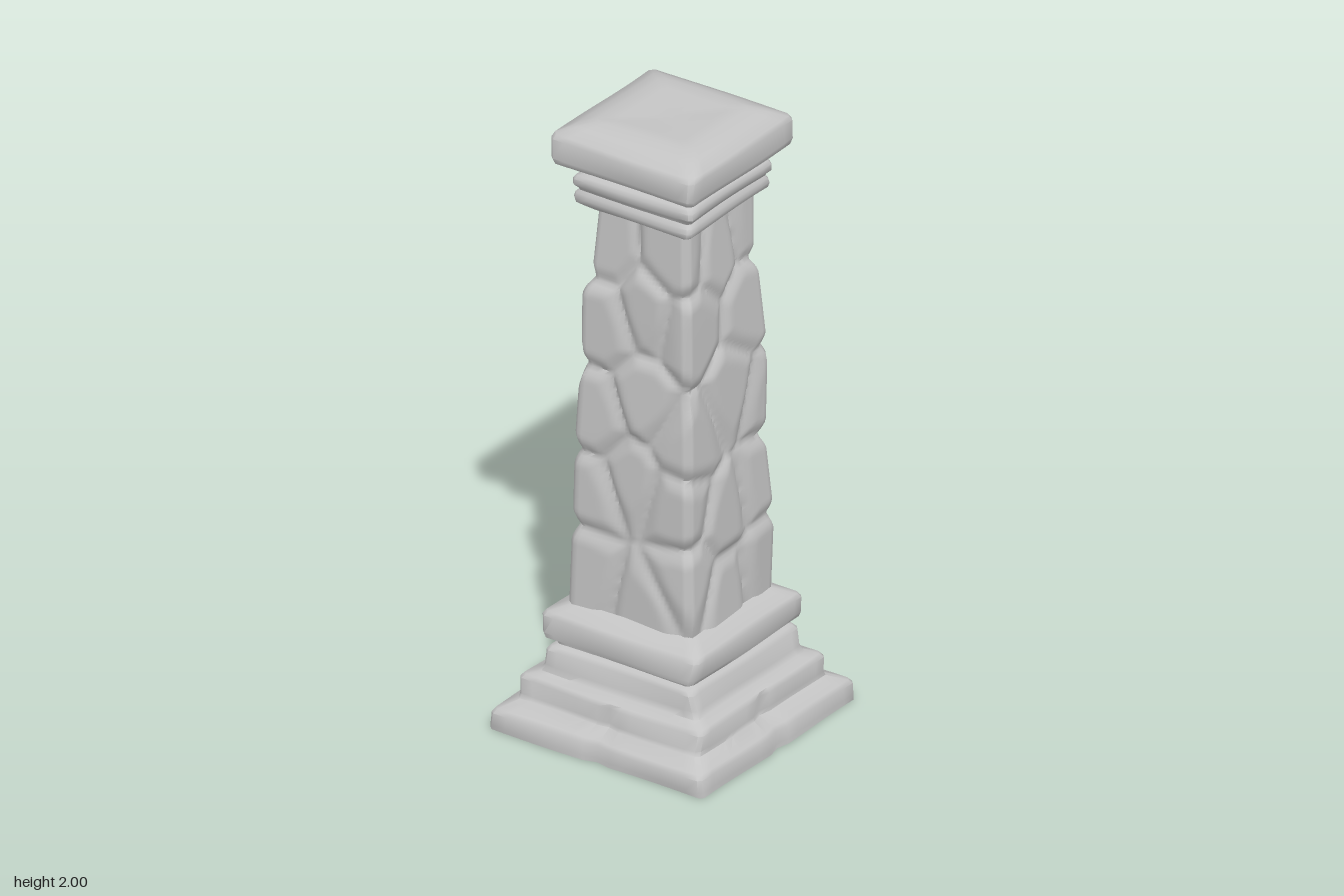
import * as THREE from 'three';
import { toCreasedNormals } from 'three/addons/utils/BufferGeometryUtils.js';

// Lofts a chamfered square along a profile of [half width, height] pairs.
// shape(p, t) may move each point; t runs from -1 to 1 along its side.
function squareLoft(profile, segs, chamfer, shape, crease) {
  const pos = [], index = [], n = 4 * (segs + 1);
  for (const [hw, y] of profile) {
    const a = hw - Math.min(chamfer, hw * 0.5);
    for (let side = 0; side < 4; side++) {
      for (let i = 0; i <= segs; i++) {
        const t = (i / segs) * 2 - 1;
        let x = t * a, z = hw;
        for (let k = 0; k < side; k++) [x, z] = [z, -x];
        const p = new THREE.Vector3(x, y, z);
        shape(p, t, hw);
        pos.push(p.x, p.y, p.z);
      }
    }
  }
  for (let j = 0; j < profile.length - 1; j++) {
    for (let i = 0; i < n; i++) {
      const a = j * n + i, b = j * n + (i + 1) % n;
      index.push(a, b, b + n, a, b + n, a + n);
    }
  }
  const g = new THREE.BufferGeometry();
  g.setAttribute('position', new THREE.Float32BufferAttribute(pos, 3));
  g.setIndex(index);
  return toCreasedNormals(g, crease);
}

// Stone centres on the shaft: x, y, z and how deep the stone is set back
const stones = [
  // corner stones, row by row
  [-0.17, 0.53, 0.19, 0], [0.17, 0.57, 0.17, 0], [0.19, 0.52, -0.17, 0], [-0.18, 0.55, -0.18, 0],
  [-0.16, 0.77, 0.18, 0], [0.15, 0.79, 0.19, 0], [0.18, 0.77, -0.16, 0], [-0.19, 0.79, -0.15, 0],
  [-0.14, 1.03, 0.18, 0], [0.16, 1.02, 0.14, 0], [0.15, 1.05, -0.19, 0], [-0.18, 1.04, -0.14, 0],
  [-0.12, 1.34, 0.17, 0], [0.17, 1.38, 0.14, 0], [0.18, 1.36, -0.13, 0], [-0.16, 1.35, -0.16, 0],
  [-0.13, 1.60, 0.17, 0.02], [0.13, 1.63, 0.17, 0], [0.14, 1.64, -0.17, 0.006], [-0.15, 1.62, -0.16, 0],
  // front, right, back and left infill
  [0.05, 0.45, 0.21, 0.008], [-0.01, 0.86, 0.2, 0.006], [0.04, 1.13, 0.2, 0], [0.04, 1.42, 0.19, 0],
  [0.21, 0.48, 0.02, 0.004], [0.2, 0.72, 0.02, 0], [0.2, 1.12, -0.02, 0], [0.19, 1.6, 0.01, 0.008],
  [-0.02, 0.5, -0.21, 0], [0.02, 0.82, -0.2, 0.004], [-0.03, 1.13, -0.2, 0], [0.01, 1.5, -0.19, 0.008],
  [-0.21, 0.46, 0.01, 0.006], [-0.2, 0.86, 0.02, 0], [-0.2, 1.15, 0.03, 0.004], [-0.19, 1.5, 0, 0],
];

// Pushes a shaft point in at the joints and tilts each stone's face a little
function carveStone(p) {
  let d1 = 9, d2 = 9, sum = 0, depth = 0;
  stones.forEach(([x, y, z, set], i) => {
    const dy = p.y - y;
    const d = Math.hypot(p.x - x, dy * 0.85, p.z - z);
    if (d < d1) { d2 = d1; d1 = d; } else if (d < d2) d2 = d;
    const w = Math.exp(-d * 70);
    const tilt = 0.05 * (Math.sin(i * 2.4) * dy + Math.cos(i * 1.7) * (p.x - x + p.z - z));
    sum += w;
    depth += w * (set + tilt);
  });
  const joint = Math.max(0, 1 - (d2 - d1) / 0.075);
  const inward = depth / sum + 0.019 * joint * Math.sqrt(joint);
  const corner = Math.max(Math.abs(p.x), Math.abs(p.z));
  const s = 1 - inward / corner;
  p.x *= s;
  p.z *= s;
}

// Slight unevenness of hand-cut blocks
function handCut(p) {
  const w = 0.0035 * Math.sin(p.x * 9 + p.y * 31) + 0.003 * Math.cos(p.z * 11 - p.y * 23);
  p.y += 0.004 * Math.sin(p.x * 8 + 1) * Math.cos(p.z * 7) * Math.min(1, p.y * 8);
  p.x += w * Math.sign(p.x);
  p.z -= w * Math.sign(p.z);
}

export function createModel() {
  const group = new THREE.Group();
  const stone = new THREE.MeshStandardMaterial({ color: 0xc4c4c4, side: THREE.DoubleSide });
  stone.name = 'pale grey stone';
  const add = (name, geometry) => {
    const mesh = new THREE.Mesh(geometry, stone);
    mesh.name = name;
    group.add(mesh);
  };

  // Stepped plinth, open underneath, with a nick in the middle of each lower edge
  add('plinth', squareLoft([
    [0.388, 0], [0.388, 0.015], [0.386, 0.055], [0.376, 0.068], [0.328, 0.092],
    [0.324, 0.105], [0.324, 0.155], [0.314, 0.168], [0.282, 0.18],
    [0.273, 0.2], [0.27, 0.25], [0.26, 0.262], [0.246, 0.268],
    [0.25, 0.28], [0.273, 0.29], [0.277, 0.305], [0.277, 0.36], [0.268, 0.374], [0.21, 0.402],
  ], 16, 0.012, (p, t, hw) => {
    handCut(p);
    if (Math.abs(t) < 0.05 && hw > 0.32) {
      p.x *= 0.972;
      p.z *= 0.972;
    }
  }, 0.85));

  // Tapering shaft of irregular stones
  const shaft = [];
  for (let i = 0; i <= 110; i++) {
    const f = i / 110;
    shaft.push([0.222 - 0.032 * f - 0.008 * f * f * f, 0.37 + 1.36 * f]);
  }
  add('stoneShaft', squareLoft(shaft, 30, 0.016, carveStone, 1.0));

  // Moulded collar under the cap
  add('collar', squareLoft([
    [0.165, 1.695], [0.192, 1.715], [0.207, 1.727], [0.21, 1.742],
    [0.207, 1.757], [0.198, 1.768], [0.203, 1.778], [0.213, 1.79],
    [0.213, 1.81], [0.206, 1.822], [0.186, 1.832], [0.184, 1.845],
  ], 10, 0.01, handCut, 0.85));

  // Cap block with a bevelled rim and a worn, slightly hollow top
  add('cap', squareLoft([
    [0.16, 1.83], [0.2, 1.838], [0.225, 1.85], [0.255, 1.868], [0.261, 1.885],
    [0.26, 1.945], [0.252, 1.96], [0.21, 1.98], [0.165, 1.996],
    [0.12, 1.993], [0.06, 1.988], [0.001, 1.985],
  ], 12, 0.014, handCut, 0.85));

  return group;
}
